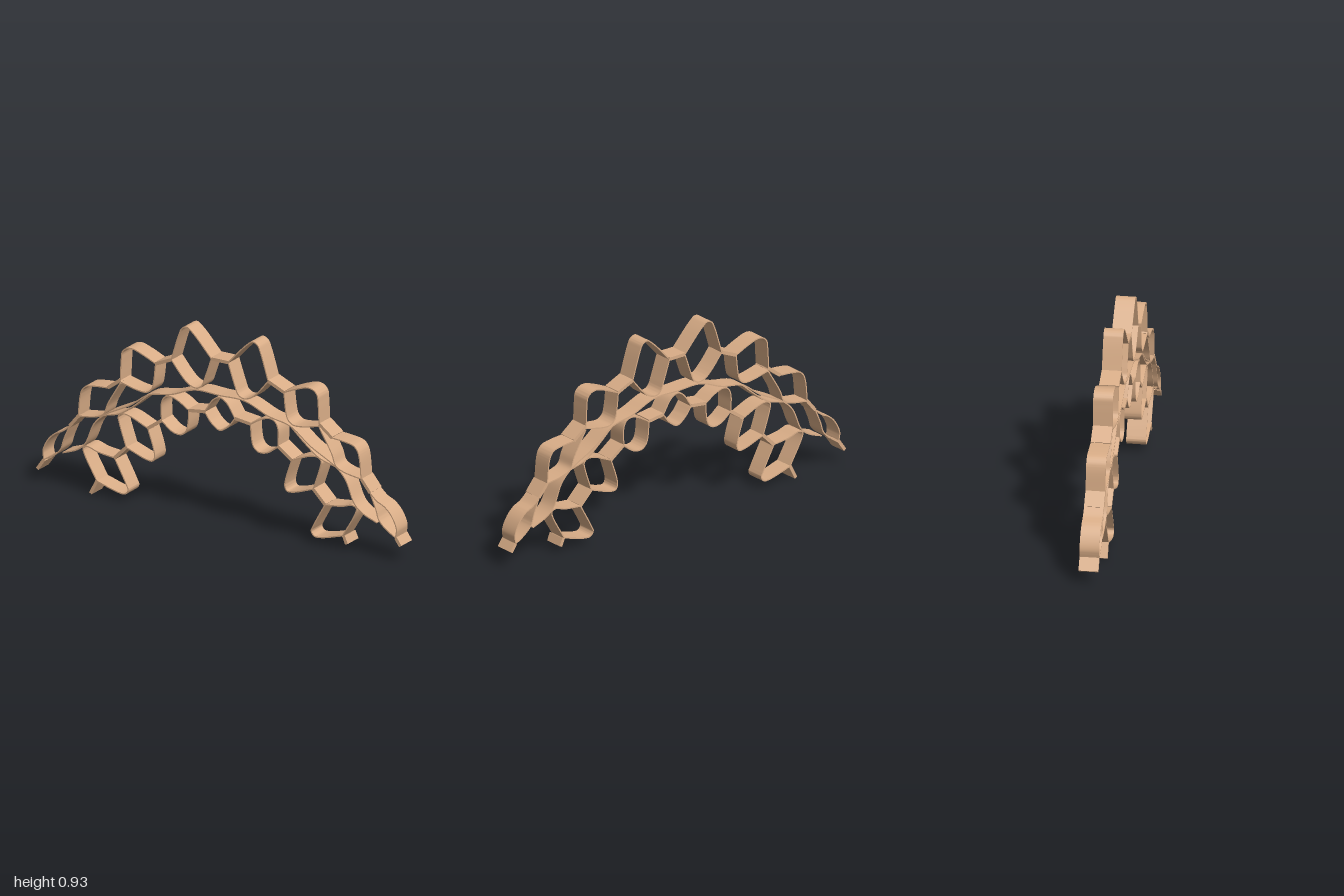
import * as THREE from 'three';
import { toCreasedNormals } from 'three/addons/utils/BufferGeometryUtils.js';

// Plan coordinates: 187 per unit, y down, with the arch's symmetry axis at x = 239.5.
const SCALE = 187, X0 = 238.5, Y0 = 311.5, AXIS = 239.5;
const DEPTH = 0.092;
const THIN = 0.006, DOUBLE = 0.016;

const toPoints = (flat, mirror) => {
  const pts = [];
  for (let i = 0; i < flat.length; i += 2) {
    const x = mirror ? 2 * AXIS - flat[i] : flat[i];
    pts.push(new THREE.Vector3((x - X0) / SCALE, (Y0 - flat[i + 1]) / SCALE, 0));
  }
  return pts;
};

// A strip of bent sheet: a path thickened in the plane, then extruded in z.
function stripGeometry(pts, thickness) {
  const path = pts.length > 2
    ? new THREE.CatmullRomCurve3(pts, false, 'centripetal').getPoints((pts.length - 1) * 6)
    : pts;
  const left = [], right = [];
  path.forEach((p, i) => {
    const a = path[Math.max(i - 1, 0)], b = path[Math.min(i + 1, path.length - 1)];
    const t = b.clone().sub(a).normalize().multiplyScalar(thickness / 2);
    left.push(new THREE.Vector2(p.x - t.y, p.y + t.x));
    right.push(new THREE.Vector2(p.x + t.y, p.y - t.x));
  });
  const shape = new THREE.Shape([...left, ...right.reverse()]);
  const geo = new THREE.ExtrudeGeometry(shape, { depth: DEPTH, bevelEnabled: false });
  geo.translate(0, 0, -DEPTH / 2 + 0.001);
  return toCreasedNormals(geo, 0.5);
}

export function createModel() {
  const model = new THREE.Group();
  const wood = new THREE.MeshStandardMaterial({ color: 0xd9ad87 });
  wood.name = 'tan sheet';

  const add = (parent, name, flat, thickness, mirror = false) => {
    const mesh = new THREE.Mesh(stripGeometry(toPoints(flat, mirror), thickness), wood);
    mesh.name = name;
    parent.add(mesh);
  };
  const group = (name) => {
    const g = new THREE.Group();
    g.name = name;
    model.add(g);
    return g;
  };

  const outer = group('outerChain'), inner = group('innerChain'), middle = group('middleArch');

  // Outer cells, from the foot to the crown: top and bottom half of each loop
  const outerTop = [
    [60, 289, 59, 281, 64, 270, 71, 263, 79, 259, 86, 253],
    [95, 242, 97, 223, 99, 217, 103, 213, 113, 211, 125, 210],
    [138, 200, 139, 181, 140, 174, 144, 170, 150, 169, 160, 172, 174, 178],
    [190, 171, 198, 146, 201, 140, 206, 138, 212, 142, 231, 162],
  ];
  const outerBottom = [
    [60, 289, 70, 283, 77, 276, 80, 267, 86, 253],
    [95, 242, 113, 239, 121, 235, 125, 225, 138, 203],
    [138, 202, 156, 206, 165, 206, 170, 202, 172, 195, 174, 178],
    [190, 171, 201, 184, 208, 190, 216, 192, 221, 189, 224, 182, 231, 162],
  ];
  const outerLinks = [
    [86, 253, 95, 242], [125, 210, 138, 200], [174, 178, 190, 171],
  ];

  // Inner cells, from the foot up
  const innerTop = [
    [114, 298, 101, 275, 100, 270, 104, 268, 115, 271, 132, 273],
    [144, 261, 137, 240, 136, 234, 139, 231, 146, 231, 166, 239],
    [180, 229, 180, 213, 183, 207, 188, 205, 196, 207, 208, 214],
  ];
  const innerBottom = [
    [114, 298, 136, 304, 143, 304, 146, 300, 144, 295, 132, 273],
    [144, 261, 165, 268, 171, 268, 173, 264, 172, 257, 166, 239],
    [180, 229, 191, 237, 200, 238, 205, 234, 207, 227, 208, 214],
  ];
  const innerLinks = [
    [132, 273, 144, 261], [166, 239, 180, 229], [208, 214, 224, 212],
  ];

  for (const mirror of [false, true]) {
    outerTop.forEach((p) => add(outer, 'outerCellTop', p, THIN, mirror));
    outerBottom.forEach((p) => add(outer, 'outerCellBottom', p, THIN, mirror));
    outerLinks.forEach((p) => add(outer, 'outerLink', p, DOUBLE, mirror));
    innerTop.forEach((p) => add(inner, 'innerCellTop', p, THIN, mirror));
    innerBottom.forEach((p) => add(inner, 'innerCellBottom', p, THIN, mirror));
    innerLinks.forEach((p) => add(inner, 'innerLink', p, DOUBLE, mirror));

    // Middle arch: one half, with a second leaf that rests on the inner cells
    add(middle, 'middleStrip', [79, 279, 94, 273, 102, 266, 111, 246, 121, 236, 147, 222,
      167, 208, 190, 203, 214, 194, 239.5, 194], THIN, mirror);
    add(middle, 'middleLeaf', [121, 236, 138, 231, 152, 221, 167, 208], THIN, mirror);
  }

  // Crown link of the outer chain and crown cell of the inner chain
  add(outer, 'crownLink', [231, 162, 248, 162], DOUBLE);
  add(inner, 'crownCellTop', [224, 212, 233, 199, 239.5, 196, 246, 199, 255, 212], THIN);
  add(inner, 'crownCellBottom', [224, 212, 231, 221, 239.5, 226, 248, 221, 255, 212], THIN);

  // End tabs
  add(outer, 'outerRightTab', [60, 289, 53, 299], DOUBLE);
  add(outer, 'outerLeftTab', [419, 289, 424, 296], DOUBLE);
  add(inner, 'innerRightTab', [114, 298, 107.5, 310.5], DOUBLE);
  add(inner, 'innerLeftTab', [366, 298, 369, 305], DOUBLE);

  return model;
}
